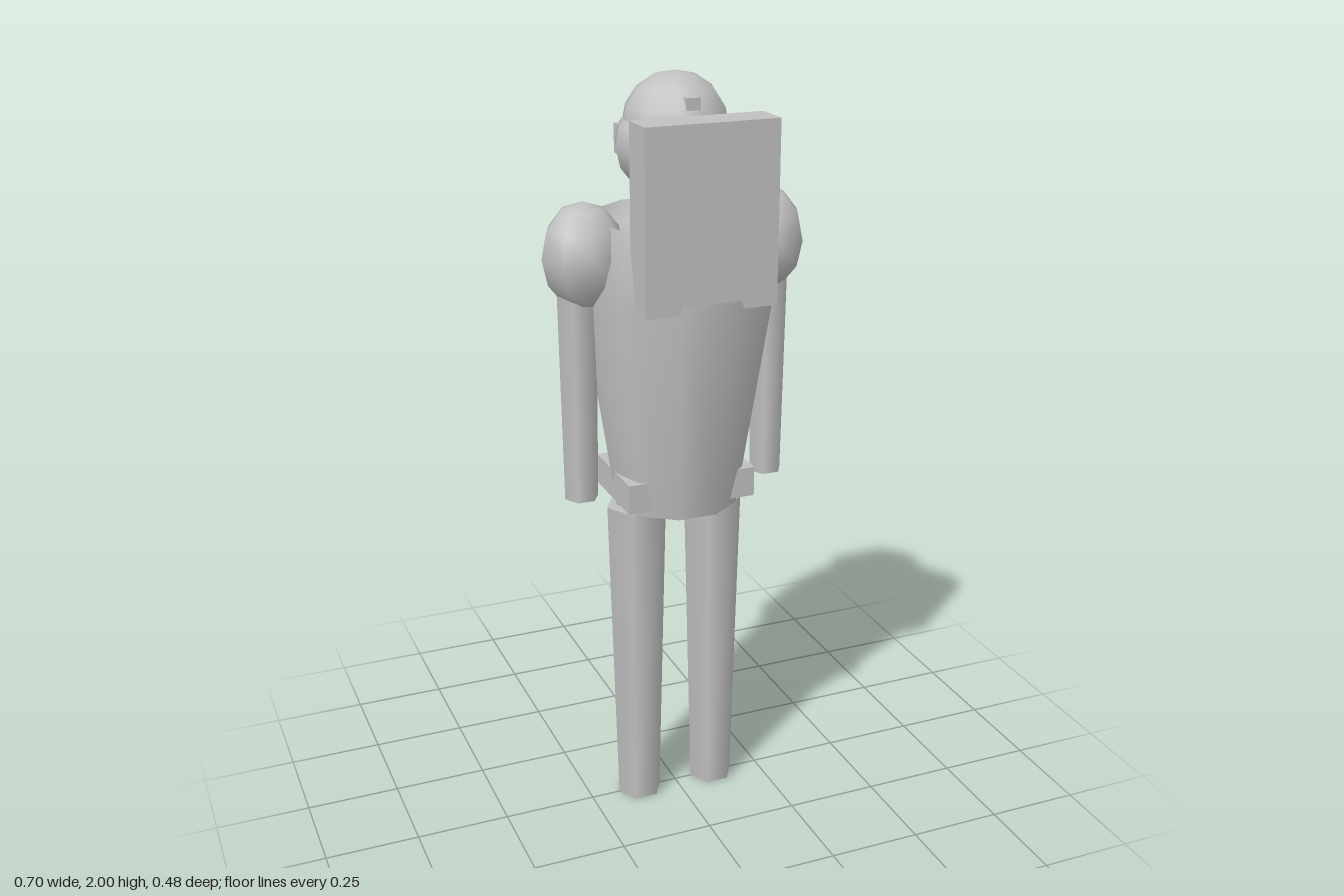
import * as THREE from 'three';

export function createModel() {
  const model = new THREE.Group();
  const grey = new THREE.MeshStandardMaterial({ color: 0xc0c0c0 });
  grey.name = 'plain grey';

  function add(name, geometry, x = 0, y = 0, z = 0) {
    const mesh = new THREE.Mesh(geometry, grey);
    mesh.name = name;
    mesh.position.set(x, y, z);
    model.add(mesh);
    return mesh;
  }
  // box given by its limits on each axis
  function box(name, x0, x1, y0, y1, z0, z1) {
    return add(name, new THREE.BoxGeometry(x1 - x0, y1 - y0, z1 - z0),
      (x0 + x1) / 2, (y0 + y1) / 2, (z0 + z1) / 2);
  }
  // tapered limb with a corner on the x axis
  function limb(name, rTop, rBottom, y0, y1, x, sides = 6) {
    const g = new THREE.CylinderGeometry(rTop, rBottom, y1 - y0, sides).rotateY(Math.PI / 2);
    return add(name, g, x, (y0 + y1) / 2);
  }
  // ten-sided turned surface
  function turned(name, profile) {
    const points = profile.map(([r, y]) => new THREE.Vector2(r, y));
    return add(name, new THREE.LatheGeometry(points, 10).rotateY(Math.PI / 2));
  }

  // torso: base, shell and hollow collar
  turned('torsoBase', [[0, 0.885], [0.165, 0.885]]);
  turned('torso', [[0.165, 0.885], [0.254, 1.46], [0.217, 1.645]]);
  turned('collar', [[0.217, 1.645], [0.184, 1.605], [0, 1.58]]);
  box('hipBlock', -0.175, 0.175, 0.905, 0.985, -0.12, 0.12);

  // neck, head and helmet
  limb('neck', 0.07, 0.07, 1.58, 1.687, 0, 10);
  add('head', new THREE.SphereGeometry(1, 10, 8).scale(0.155, 0.13, 0.146), 0, 1.822);
  add('helmet', new THREE.SphereGeometry(0.136, 10, 4, 0, Math.PI * 2, 0, Math.PI / 2), 0, 1.864);
  box('visor', -0.098, 0.098, 1.777, 1.852, -0.168, -0.134);
  for (const z of [-0.108, 0.108]) {
    box('helmetStud', -0.018, 0.018, 1.92, 1.95, z - 0.009, z + 0.009);
  }

  // backpack and its bracket behind the head
  box('backpack', -0.172, 0.172, 1.458, 1.912, 0.139, 0.238);
  box('backpackBracket', -0.095, 0.095, 1.715, 1.795, 0.07, 0.145);

  // mirrored limbs and chest vents
  for (const [side, s] of [['left', 1], ['right', -1]]) {
    add(side + 'Shoulder', new THREE.SphereGeometry(1, 8, 6).scale(0.108, 0.135, 0.106), s * 0.243, 1.565);
    limb(side + 'Arm', 0.053, 0.045, 0.923, 1.5, s * 0.262);
    limb(side + 'Leg', 0.083, 0.061, 0, 0.88, s * 0.109);
    box(side + 'ChestVent', s * 0.117 - 0.012, s * 0.117 + 0.012, 1.37, 1.46, -0.214, -0.16);
  }
  return model;
}
